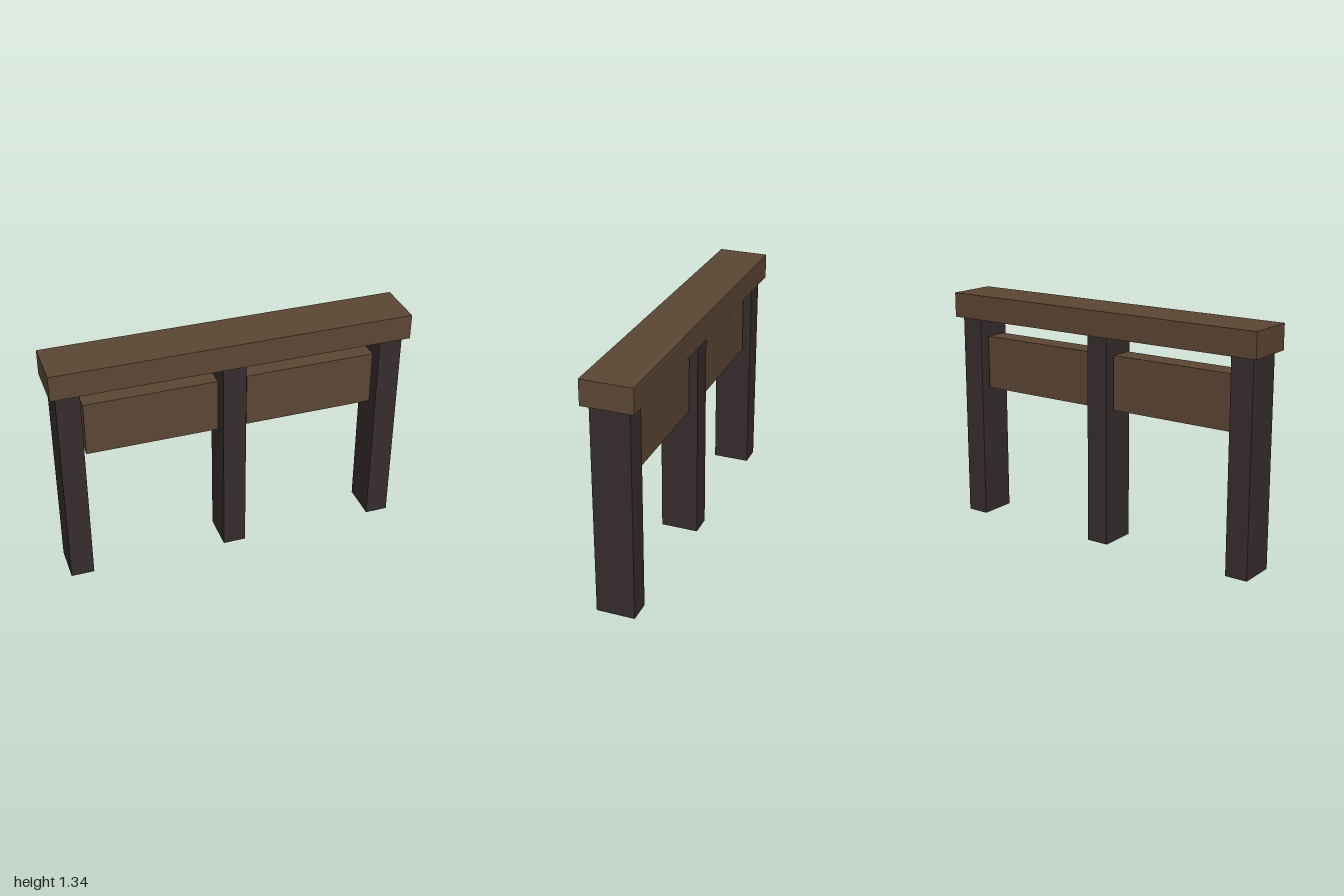
import * as THREE from 'three';

export function createModel() {
  const model = new THREE.Group();
  model.name = 'postAndBeamFence';

  const wood = new THREE.MeshStandardMaterial({ color: 0x5c4633 });
  wood.name = 'brown wood';
  const darkWood = new THREE.MeshStandardMaterial({ color: 0x362c2d });
  darkWood.name = 'dark post';

  // Box given by its centre x, bottom y and size, centred on z = 0
  const addBox = (name, material, x, bottom, width, height, depth) => {
    const mesh = new THREE.Mesh(new THREE.BoxGeometry(width, height, depth), material);
    mesh.name = name;
    mesh.position.set(x, bottom + height / 2, 0);
    model.add(mesh);
  };

  // Top beam
  addBox('topBeam', wood, 0, 1.193, 2, 0.142, 0.285);

  // Three posts
  const posts = { rightPost: -0.903, middlePost: 0, leftPost: 0.903 };
  for (const [name, x] of Object.entries(posts)) {
    addBox(name, darkWood, x, 0, 0.13, 1.193, 0.215);
  }

  // Panels between the posts, with a small gap at each end
  for (const side of [-1, 1]) {
    addBox(side < 0 ? 'rightPanel' : 'leftPanel', wood, side * 0.451, 0.778, 0.738, 0.307, 0.13);
  }

  return model;
}
